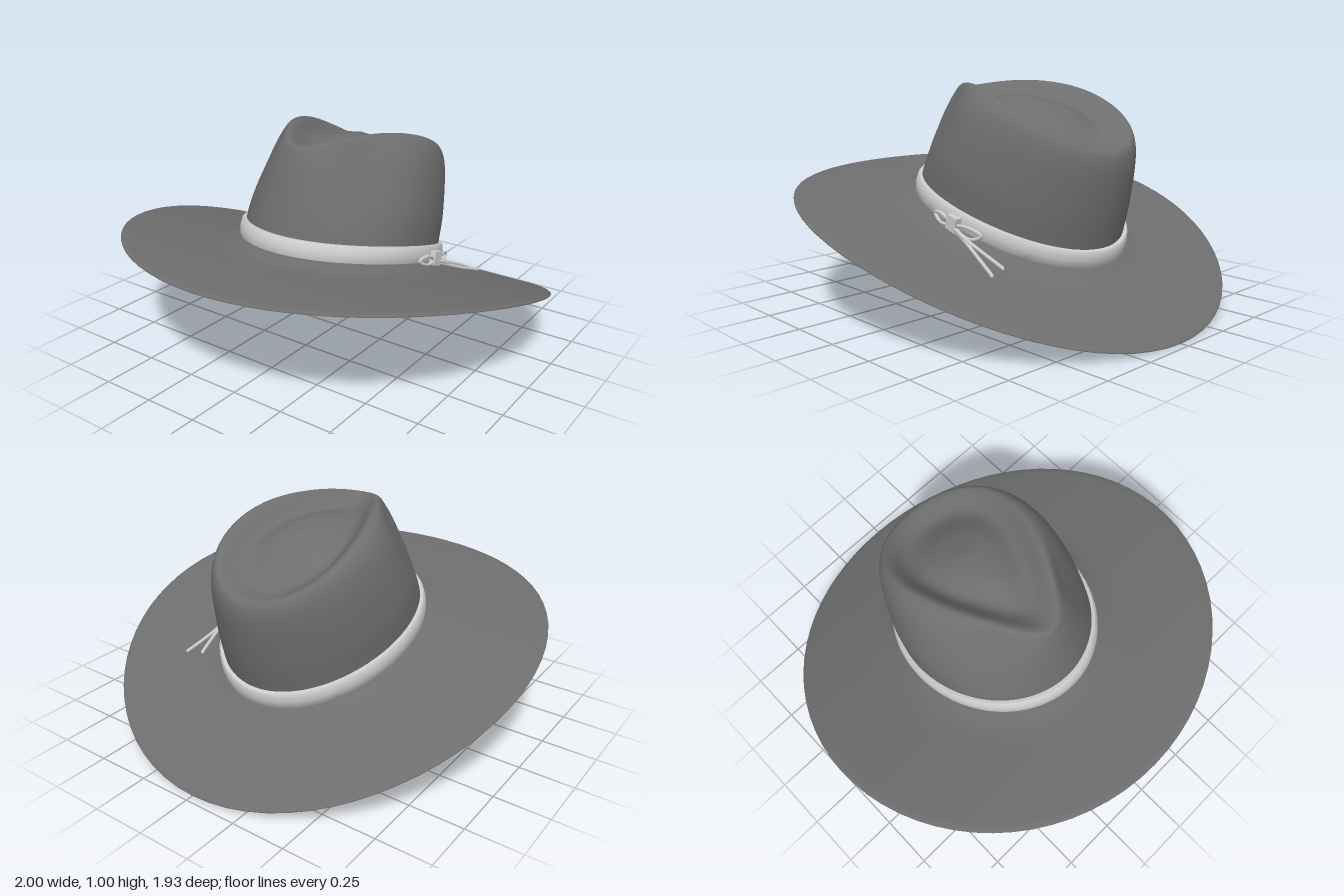
import * as THREE from 'three';
import { mergeVertices, toCreasedNormals } from 'three/addons/utils/BufferGeometryUtils.js';

const SEG = 72;
const felt = new THREE.MeshStandardMaterial({ color: 0x6e6e6e, side: THREE.DoubleSide });
const leather = new THREE.MeshStandardMaterial({ color: 0xcccccc, side: THREE.DoubleSide });
const V = (x, y, z) => new THREE.Vector3(x, y, z);

// Height of the tilted, gently curved brim, and of the crown's ridge line
const brimY = z => 0.41 + 0.285 * z - 0.14 * z * z;
const ridgeY = z => 1.006 - 0.57 * (z - 0.08) ** 2;

// Point on the head opening, moved out by o and up along the tilted axis by h
function wall(a, h, o = 0) {
  const z = -0.037 + (0.492 + o) * Math.cos(a);
  return V((0.43 + o) * Math.sin(a), brimY(z) + 0.965 * h, z - 0.26 * h);
}

// Teardrop outline scaled by k about the dent's centre, lowered by d
function teardrop(a, k, d) {
  const c = Math.cos(a);
  const x = 0.28 * Math.sin(a) * (1 - 0.4 * c) * k;
  const z = -0.2 + (0.05 + 0.45 * c) * k;
  return V(x, ridgeY(z) - d, z);
}

// Skin a surface around the vertical axis: profile(angle) gives a list of points
function loft(profile, crease) {
  const pos = [], idx = [];
  let n = 0;
  for (let j = 0; j < SEG; j++) {
    const pts = profile(j / SEG * Math.PI * 2);
    n = pts.length;
    pts.forEach(p => pos.push(p.x, p.y, p.z));
  }
  for (let j = 0; j < SEG; j++) {
    const k = (j + 1) % SEG;
    for (let i = 0; i < n - 1; i++) {
      const a = j * n + i, b = k * n + i;
      idx.push(a, b, b + 1, a, b + 1, a + 1);
    }
  }
  let g = new THREE.BufferGeometry();
  g.setAttribute('position', new THREE.Float32BufferAttribute(pos, 3));
  g.setIndex(idx);
  g = mergeVertices(g, 1e-5);
  g.computeVertexNormals();
  return crease ? toCreasedNormals(g, crease) : g;
}

// Crown: wall, pinched shoulder, ridge, trough and raised centre
function crownProfile(a) {
  const ridge = teardrop(a, 1, 0);
  const base = wall(a, 0);
  const H = (ridge.y - base.y) / 0.965;
  const side = Math.abs(Math.atan2(Math.sin(a), Math.cos(a)));
  const pinch = Math.exp(-(((side - 0.85) / 0.38) ** 2));
  const upper = wall(a, 0.8 * H);
  const m = 0.5 + 0.18 * pinch;
  const shoulder = V(
    THREE.MathUtils.lerp(upper.x, ridge.x, m),
    THREE.MathUtils.lerp(upper.y, ridge.y, 0.5 - 0.25 * pinch),
    THREE.MathUtils.lerp(upper.z, ridge.z, m));
  return new THREE.CatmullRomCurve3([
    wall(a, 0.03), wall(a, 0.12), wall(a, 0.27, -0.004 - 0.025 * pinch),
    shoulder, ridge, teardrop(a, 0.7, 0.07),
    teardrop(a, 0.36, 0.045), V(0, ridgeY(-0.2) - 0.03, -0.2),
  ]).getPoints(49);
}

// Brim: underside with a folded hem, thin edge, then the top surface
function brimProfile(a) {
  const inner = wall(a, 0);
  const at = (s, dy) => {
    const x = THREE.MathUtils.lerp(inner.x, Math.sin(a), s);
    const z = THREE.MathUtils.lerp(inner.z, 0.965 * Math.cos(a), s);
    return V(x, brimY(z) + 0.03 * Math.exp(-((s / 0.12) ** 2)) + dy, z);
  };
  const steps = [0, 0.04, 0.08, 0.12, 0.18, 0.26, 0.36, 0.48, 0.6, 0.72, 0.84, 0.925];
  return [
    ...steps.map(s => at(s, 0)),
    at(0.93, -0.005), at(0.98, -0.005), at(1, -0.001), at(1, 0.003), at(0.98, 0.008),
    ...steps.slice().reverse().map(s => at(s, 0.008)),
  ];
}

// Hat band: rounded strap section
const bandProfile = a => [
  [0.028, 0], [0.028, 0.016], [0.036, 0.022], [0.07, 0.025],
  [0.1, 0.021], [0.108, 0.015], [0.108, -0.002],
].map(([h, o]) => wall(a, h, o));

export function createModel() {
  const hat = new THREE.Group();
  hat.name = 'hat';
  const add = (name, geometry, material, parent = hat) => {
    const mesh = new THREE.Mesh(geometry, material);
    mesh.name = name;
    parent.add(mesh);
    return mesh;
  };
  add('crown', loft(crownProfile), felt);
  add('brim', loft(brimProfile, 0.7), felt);
  add('band', loft(bandProfile, 0.7), leather);

  // Tie on the left side: knot, two loops and two loose tails
  const tie = new THREE.Group();
  tie.name = 'tie';
  hat.add(tie);
  const cord = (name, pts, closed) => add(name, new THREE.TubeGeometry(
    new THREE.CatmullRomCurve3(pts.map(p => V(...p)), closed), 32, 0.008, 8, closed), leather, tie);

  const knot = add('knot', new THREE.BoxGeometry(0.045, 0.08, 0.06), leather, tie);
  knot.position.set(0.455, 0.425, -0.115);
  knot.rotation.x = -0.26;
  cord('frontLoop', [[0.465, 0.43, -0.1], [0.465, 0.468, -0.04], [0.455, 0.46, 0.01], [0.465, 0.425, -0.04]], true);
  cord('backLoop', [[0.465, 0.42, -0.13], [0.455, 0.425, -0.2], [0.435, 0.395, -0.265], [0.45, 0.375, -0.2]], true);
  cord('innerTail', [[0.47, 0.42, -0.12], [0.475, 0.385, -0.2], [0.465, 0.34, -0.3], [0.45, 0.29, -0.41]], false);
  cord('outerTail', [[0.47, 0.41, -0.12], [0.475, 0.375, -0.2], [0.495, 0.33, -0.3], [0.53, 0.28, -0.43]], false);
  return hat;
}
